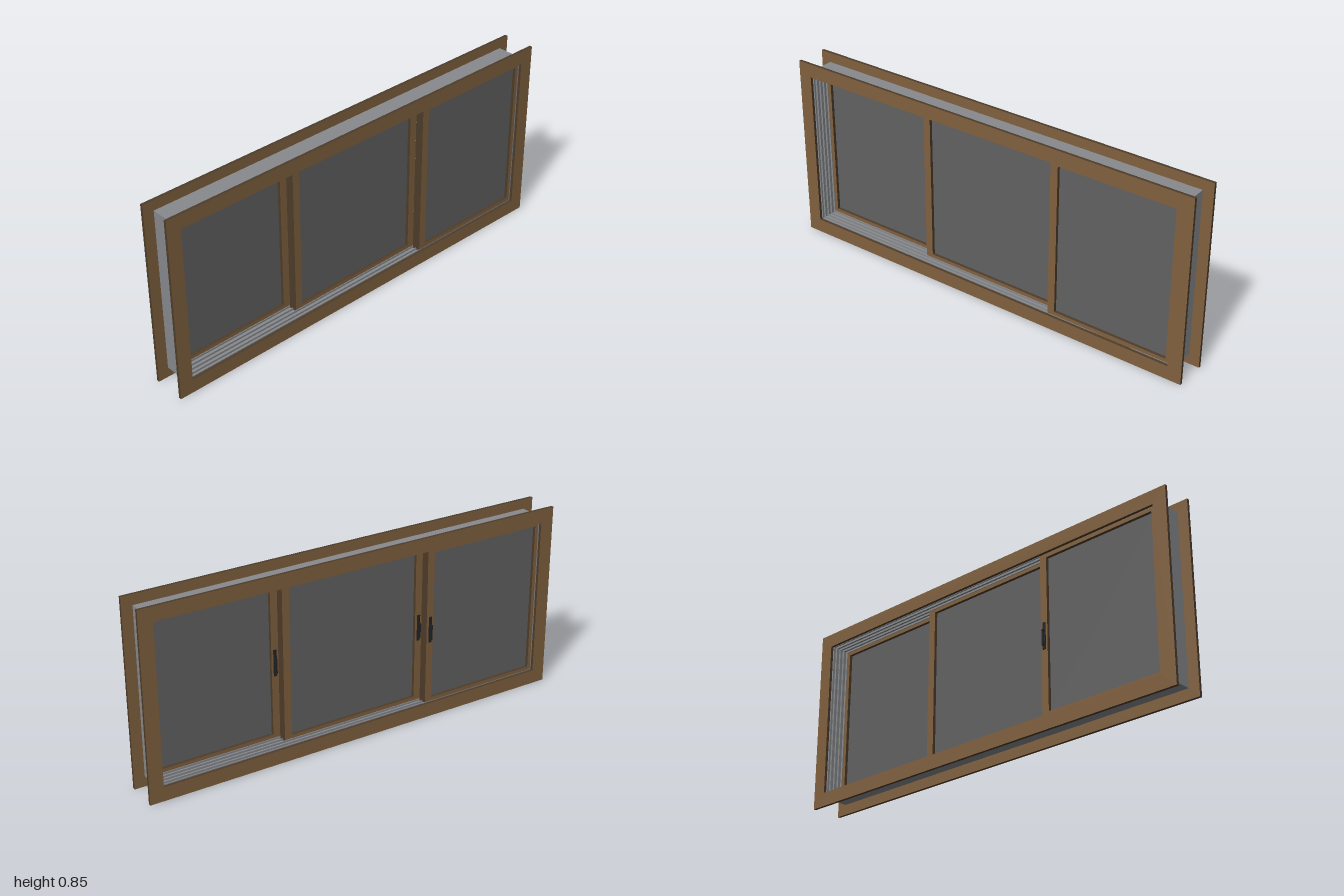
import * as THREE from 'three';

const mat = (name, color, side = THREE.FrontSide) => {
  const m = new THREE.MeshStandardMaterial({ color, side });
  m.name = name;
  return m;
};

export function createModel() {
  const wood = mat('brown wood', 0x80603e);
  const edge = mat('dark brown edge', 0x4e3c2b);
  const metal = mat('grey metal', 0x87898c);
  const glass = mat('dark glass', 0x616161);
  const black = mat('black handle', 0x202224);

  const root = new THREE.Group();
  root.name = 'slidingWindow';

  // rectangular ring in the z-y plane, extruded along x
  function ring(name, z0, z1, y0, y1, border, x0, x1, materials, parent = root) {
    const rect = (P, a, b, c, d) => {
      const p = new P();
      p.moveTo(a, c); p.lineTo(b, c); p.lineTo(b, d); p.lineTo(a, d); p.closePath();
      return p;
    };
    // shape x maps to -z after the quarter turn about y
    const shape = rect(THREE.Shape, -z1, -z0, y0, y1);
    shape.holes.push(rect(THREE.Path, -z1 + border, -z0 - border, y0 + border, y1 - border));
    const geo = new THREE.ExtrudeGeometry(shape, { depth: x1 - x0, bevelEnabled: false });
    geo.rotateY(Math.PI / 2);
    geo.translate(x0, 0, 0);
    const mesh = new THREE.Mesh(geo, materials);
    mesh.name = name;
    parent.add(mesh);
  }

  function box(name, w, h, d, x, y, z, material, parent = root) {
    const mesh = new THREE.Mesh(new THREE.BoxGeometry(w, h, d), material);
    mesh.name = name;
    mesh.position.set(x, y, z);
    parent.add(mesh);
  }

  // metal lining and the cover trims on both faces
  ring('jamb', -0.952, 0.952, 0.047, 0.805, 0.01, -0.066, 0.066, metal);
  for (const s of [-1, 1]) {
    const x = s * 0.072;
    ring('trim', -1, 1, 0, 0.85, 0.0635, x - 0.0065, x + 0.0065, [wood, edge]);
  }

  // guide ribs running round the lining
  for (const x of [-0.061, -0.043, -0.0215, 0, 0.0215, 0.043, 0.061]) {
    ring('trackRib', -0.945, 0.945, 0.054, 0.798, 0.012, x - 0.002, x + 0.002, metal);
  }

  // three sashes, each on its own track
  const sashes = [
    { name: 'leftSash', z0: 0.342, z1: 0.951, x: -0.043, handle: 0.36 },
    { name: 'middleSash', z0: -0.345, z1: 0.345, x: 0, handle: 0.328 },
    { name: 'rightSash', z0: -0.951, z1: -0.342, x: 0.043, handle: -0.36 },
  ];
  for (const { name, z0, z1, x, handle } of sashes) {
    const sash = new THREE.Group();
    sash.name = name;
    root.add(sash);
    ring('sashFrame', z0, z1, 0.048, 0.804, 0.034, x - 0.02, x + 0.02, [wood, edge], sash);
    box('pane', 0.012, 0.69, z1 - z0 - 0.066, x, 0.426, (z0 + z1) / 2, glass, sash);

    // pull handle on the inner face
    const face = x - 0.02;
    box('handlePlate', 0.004, 0.12, 0.014, face - 0.002, 0.415, handle, black, sash);
    box('handleGrip', 0.005, 0.07, 0.008, face - 0.012, 0.405, handle, black, sash);
    for (const y of [0.375, 0.435]) box('handlePost', 0.01, 0.008, 0.008, face - 0.007, y, handle, black, sash);
  }

  return root;
}
